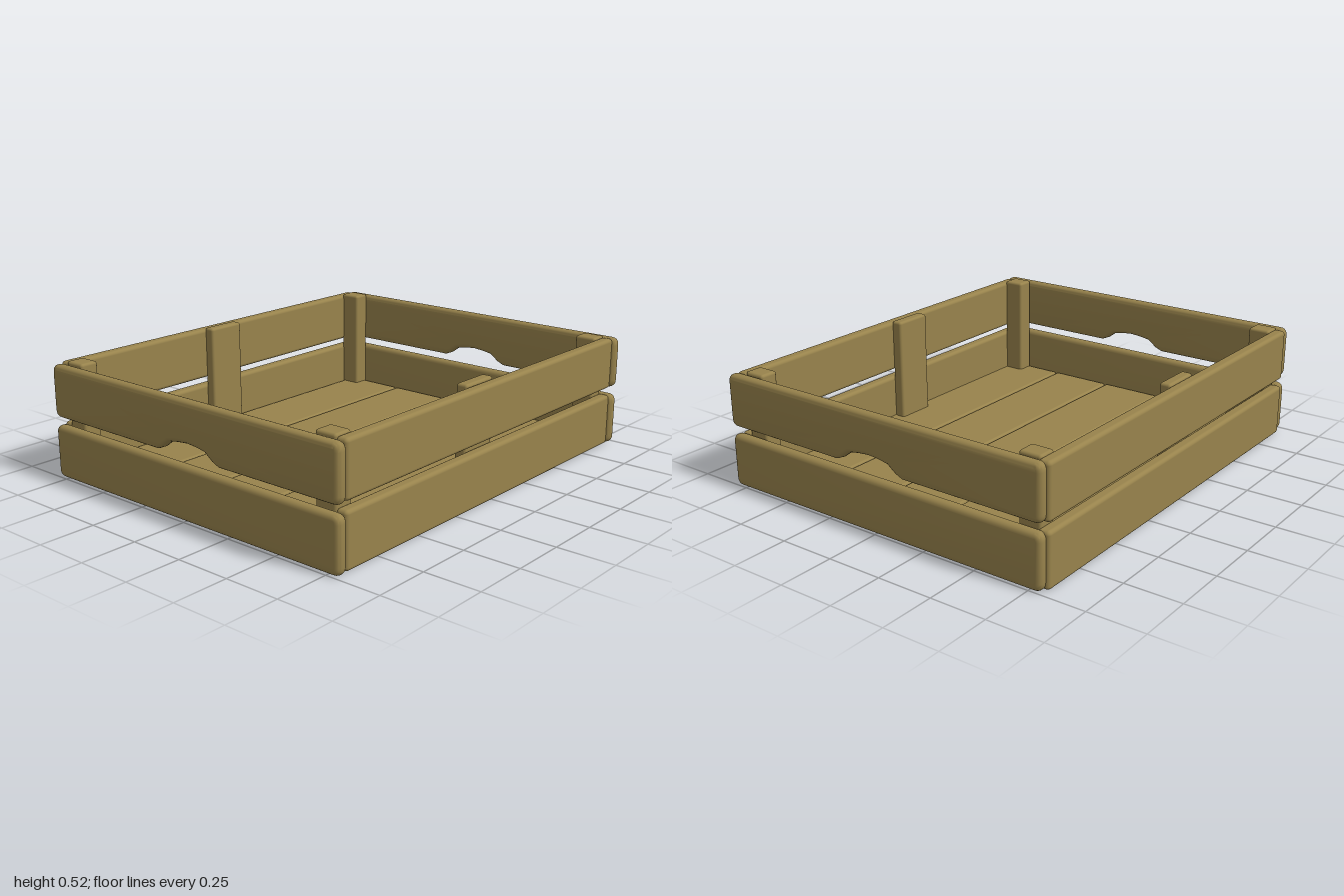
import * as THREE from 'three';
import { toCreasedNormals } from 'three/addons/utils/BufferGeometryUtils.js';
import { RoundedBoxGeometry } from 'three/addons/geometries/RoundedBoxGeometry.js';

// Box given by its limits on each axis, with softly rounded edges
function slab(name, material, [x0, x1], [y0, y1], [z0, z1], radius) {
  const mesh = new THREE.Mesh(
    new RoundedBoxGeometry(x1 - x0, y1 - y0, z1 - z0, 3, radius), material);
  mesh.position.set((x0 + x1) / 2, (y0 + y1) / 2, (z0 + z1) / 2);
  mesh.name = name;
  return mesh;
}

// Rounded end board, optionally with a hand hold cut into its lower edge
function endBoard(name, material, y0, y1, z, notched) {
  const x0 = -0.805, x1 = 0.81, r = 0.035, depth = 0.052, bevel = 0.022;
  const s = new THREE.Shape();
  s.moveTo(x0 + r, y0);
  if (notched) {
    const hold = [[-0.15, 0], [-0.115, 0.015], [-0.075, 0.045], [-0.03, 0.053],
      [0.025, 0.058], [0.08, 0.053], [0.125, 0.045], [0.165, 0.015], [0.2, 0]];
    for (const [x, y] of hold) s.lineTo(x, y0 + y);
  }
  s.lineTo(x1 - r, y0);
  s.quadraticCurveTo(x1, y0, x1, y0 + r);
  s.lineTo(x1, y1 - r);
  s.quadraticCurveTo(x1, y1, x1 - r, y1);
  s.lineTo(x0 + r, y1);
  s.quadraticCurveTo(x0, y1, x0, y1 - r);
  s.lineTo(x0, y0 + r);
  s.quadraticCurveTo(x0, y0, x0 + r, y0);
  const geometry = new THREE.ExtrudeGeometry(s, {
    depth: depth - 2 * bevel, curveSegments: 5, bevelEnabled: true,
    bevelThickness: bevel, bevelSize: bevel, bevelOffset: -bevel, bevelSegments: 4,
  });
  geometry.translate(0, 0, bevel - depth / 2);
  const mesh = new THREE.Mesh(toCreasedNormals(geometry, 0.7), material);
  mesh.position.z = z;
  mesh.name = name;
  return mesh;
}

export function createModel() {
  const crate = new THREE.Group();
  crate.name = 'crate';
  const wood = new THREE.MeshStandardMaterial({ color: 0x98834c });
  wood.name = 'wood';

  // Floor boards, separated by narrow gaps
  for (let i = 0; i < 5; i++) {
    const x = -0.762 + i * 0.309;
    crate.add(slab('floorBoard', wood, [x, x + 0.302], [0.005, 0.045], [-0.945, 0.94], 0.012));
  }

  // Two tiers of boards all round
  for (const [y0, y1, notched] of [[0.005, 0.242, false], [0.277, 0.513, true]]) {
    crate.add(endBoard('frontBoard', wood, y0, y1, 0.971, notched));
    crate.add(endBoard('backBoard', wood, y0, y1, -0.974, notched));
    crate.add(slab('rightSideBoard', wood, [-0.818, -0.762], [y0, y1], [-0.965, 0.938], 0.016));
    crate.add(slab('leftSideBoard', wood, [0.743, 0.798], [y0, y1], [-0.955, 0.938], 0.016));
  }

  // Corner posts
  for (const x of [[-0.77, -0.67], [0.65, 0.75]]) {
    for (const z of [[-0.95, -0.867], [0.855, 0.942]]) {
      crate.add(slab('cornerPost', wood, x, [0.02, 0.521], z, 0.012));
    }
  }

  // Flat posts halfway along the sides
  for (const x of [[-0.768, -0.716], [0.691, 0.745]]) {
    crate.add(slab('middlePost', wood, x, [0.02, 0.521], [-0.047, 0.14], 0.012));
  }
  return crate;
}
